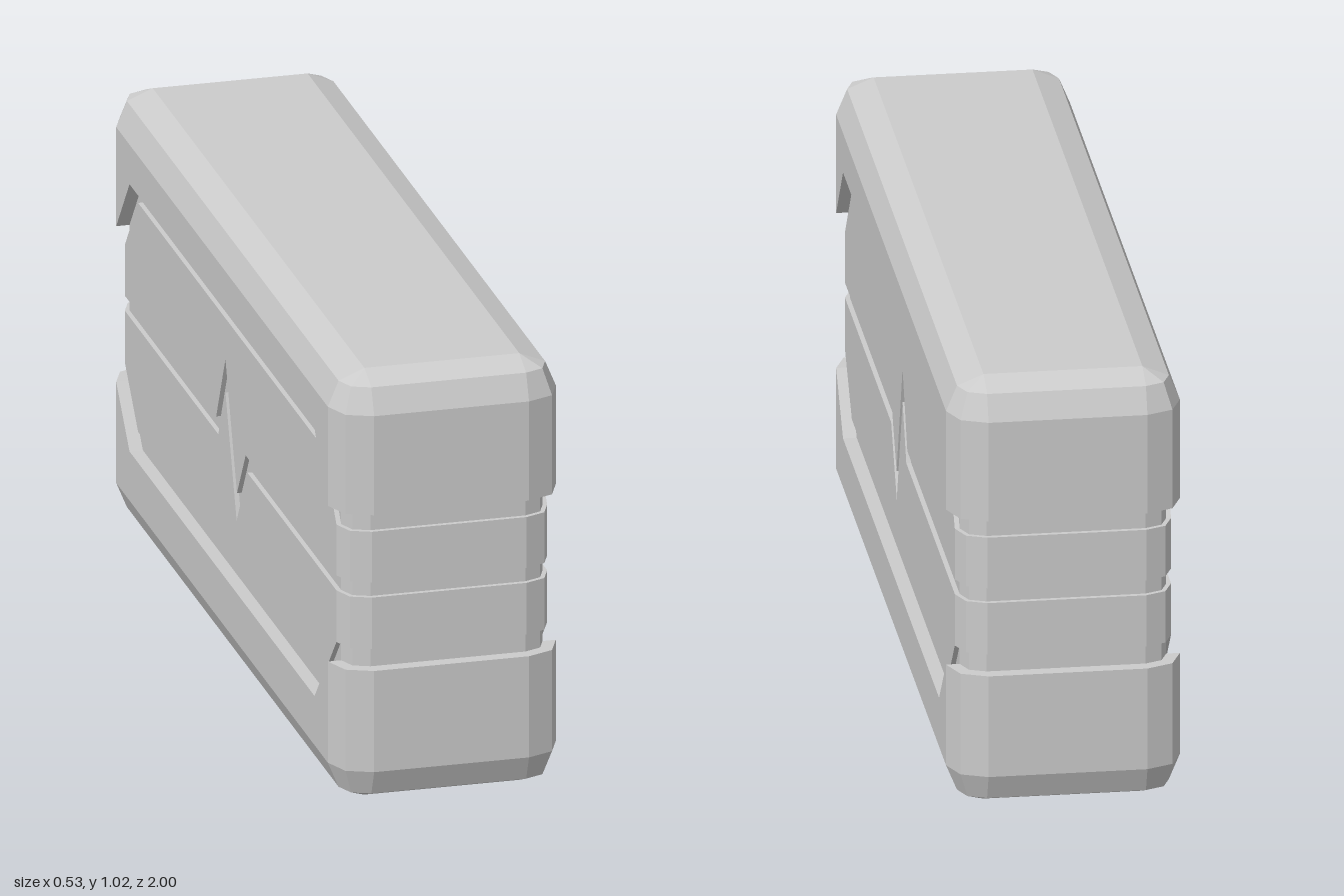
import * as THREE from 'three';

// Rounded-rectangle plan: corner centres at (CX, CZ), radius r per ring
const CX = 0.18, CZ = 0.915, H = 1.025;
const OUTER = 0.085, PANEL = 0.065, GROOVE = 0.054;

// Edge lines as [z, y] pairs, z falling from front to back
const band = (end, side) => [[CZ, end], [0.8, side], [-0.8, side], [-CZ, end]];
const capTopEdge = band(0.702, 0.845);
const panelTopEdge = band(0.655, 0.798);
const panelBottomEdge = band(0.373, 0.248);
const capBottomEdge = band(0.328, 0.203);
const pulseUpper = [[0.13, 0.533], [0.055, 0.415], [-0.045, 0.7], [-0.125, 0.533]];
const pulseLower = [[0.145, 0.497], [0.052, 0.347], [-0.045, 0.62], [-0.107, 0.497]];

const stops = [0.8, -0.8, ...pulseUpper.map(p => p[0]), ...pulseLower.map(p => p[0])];
const sideZ = [...new Set(stops)].sort((a, b) => b - a);

// Height of an edge line at z (a plain number means a level line)
function heightAt(line, z) {
  if (typeof line === 'number') return line;
  if (z >= line[0][0]) return line[0][1];
  for (let i = 1; i < line.length; i++) {
    const [z0, y0] = line[i - 1], [z1, y1] = line[i];
    if (z >= z1) return y0 + (y1 - y0) * (z0 - z) / (z0 - z1);
  }
  return line[line.length - 1][1];
}

// One closed ring around the body, counter-clockwise from above
function ring(r, line) {
  const d = r * Math.SQRT1_2;
  const half = [
    [CX, CZ + r], [CX + d, CZ + d], [CX + r, CZ],
    ...sideZ.map(z => [CX + r, z]),
    [CX + r, -CZ], [CX + d, -CZ - d], [CX, -CZ - r],
  ];
  const loop = [...half, ...half.slice().reverse().map(([x, z]) => [-x, z])];
  return loop.map(([x, z]) => [x, heightAt(line, z), z]);
}

// Skin a stack of rings from bottom to top, optionally closing the ends
function loft(name, rings, material, closeBottom = false, closeTop = false) {
  const pos = [], n = rings[0].length;
  const tri = (a, b, c) => pos.push(...a, ...b, ...c);
  for (let k = 0; k < rings.length - 1; k++) {
    const lo = rings[k], hi = rings[k + 1];
    for (let i = 0; i < n; i++) {
      const j = (i + 1) % n;
      tri(lo[i], lo[j], hi[j]);
      tri(lo[i], hi[j], hi[i]);
    }
  }
  const fan = (loop, up) => {
    const centre = [0, loop[0][1], 0];
    for (let i = 0; i < n; i++) {
      const a = loop[i], b = loop[(i + 1) % n];
      up ? tri(centre, a, b) : tri(centre, b, a);
    }
  };
  if (closeBottom) fan(rings[0], false);
  if (closeTop) fan(rings[rings.length - 1], true);
  const geometry = new THREE.BufferGeometry();
  geometry.setAttribute('position', new THREE.Float32BufferAttribute(pos, 3));
  geometry.computeVertexNormals();
  const mesh = new THREE.Mesh(geometry, material);
  mesh.name = name;
  return mesh;
}

export function createModel() {
  const group = new THREE.Group();
  group.name = 'case';
  const grey = new THREE.MeshStandardMaterial({ color: 0xcccccc, flatShading: true });

  // Two-step rounding shared by the top and bottom caps: [radius, height from the end]
  const s = OUTER * Math.SQRT1_2;
  const rounding = [[0, 0], [s, OUTER - s], [OUTER, OUTER]];

  // Bottom cap, rising to a ledge at the groove
  group.add(loft('bottomCap', [
    ...rounding.map(([r, y]) => ring(r, y)),
    ring(OUTER, capBottomEdge), ring(GROOVE, capBottomEdge),
  ], grey, true));

  // Top cap
  group.add(loft('topCap', [
    ring(GROOVE, capTopEdge), ring(OUTER, capTopEdge),
    ...rounding.slice().reverse().map(([r, y]) => ring(r, H - y)),
  ], grey, false, true));

  // Recessed core forming the floor of every groove
  group.add(loft('grooveCore', [ring(GROOVE, 0.15), ring(GROOVE, 0.88)], grey));

  // Raised panels either side of the zigzag groove
  const panel = (name, low, high) => group.add(loft(name, [
    ring(GROOVE, low), ring(PANEL, low), ring(PANEL, high), ring(GROOVE, high),
  ], grey));
  panel('lowerPanel', panelBottomEdge, pulseLower);
  panel('upperPanel', pulseUpper, panelTopEdge);

  return group;
}
